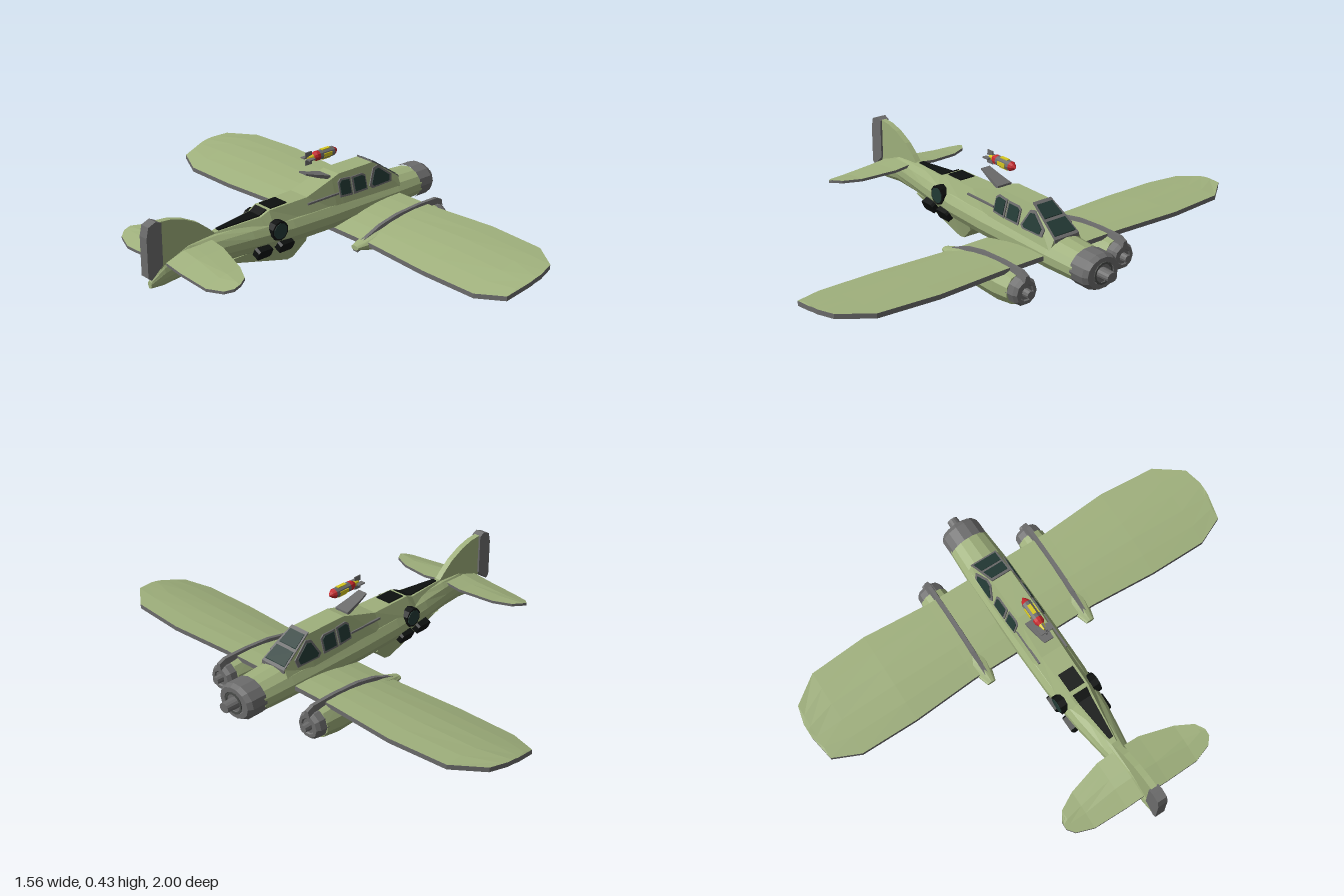
import * as THREE from 'three';

const mat = (name, color, side = THREE.FrontSide) =>
  new THREE.MeshStandardMaterial({ name, color, flatShading: true, side });
const green = mat('bodyGreen', 0x9fb07c);
const grey = mat('trimGrey', 0x6c6c6c);
const darkGrey = mat('seamGrey', 0x4a4c4a);
const glass = mat('windowGlass', 0x233a35);
const black = mat('ventBlack', 0x0d100f);
const red = mat('bombRed', 0xc4262b);
const yellow = mat('bombYellow', 0xd6c71f);

// Skin closed rings of [x, y, z] points; edge(j) picks the material group of each side
function loft(rings, edge = () => 0, cap = 0) {
  const tris = [[], []], n = rings[0].length;
  const add = (g, a, b, c) => tris[g].push([a, b, c]);
  for (let i = 0; i < rings.length - 1; i++) for (let j = 0; j < n; j++) {
    const k = (j + 1) % n, A = rings[i], B = rings[i + 1];
    add(edge(j), A[j], B[j], B[k]);
    add(edge(j), A[j], B[k], A[k]);
  }
  const last = rings[rings.length - 1];
  for (let j = 1; j < n - 1; j++) {
    add(cap, rings[0][0], rings[0][j], rings[0][j + 1]);
    add(cap, last[0], last[j + 1], last[j]);
  }
  // Turn the surface outward whichever way the rings run
  const v = (p) => new THREE.Vector3(...p);
  let volume = 0;
  tris.flat().forEach(([a, b, c]) => { volume += v(a).dot(v(b).cross(v(c))); });
  const flat = tris.map((t) => t.flatMap(([a, b, c]) => (volume < 0 ? [a, c, b] : [a, b, c]).flat()));
  const geo = new THREE.BufferGeometry();
  geo.setAttribute('position', new THREE.Float32BufferAttribute(flat.flat(), 3));
  geo.addGroup(0, flat[0].length / 3, 0);
  geo.addGroup(flat[0].length / 3, flat[1].length / 3, 1);
  geo.computeVertexNormals();
  return geo;
}

// Straight-line interpolation through [x, y] pairs
function curve(pts, x) {
  if (x <= pts[0][0]) return pts[0][1];
  for (let i = 1; i < pts.length; i++) if (x <= pts[i][0]) {
    const [a, b] = [pts[i - 1], pts[i]];
    return a[1] + (b[1] - a[1]) * (x - a[0]) / (b[0] - a[0]);
  }
  return pts[pts.length - 1][1];
}

// Elliptic ring from x, top, bottom, half width, around centre line z
const oval = (z0, n) => ([x, top, bot, w]) => Array.from({ length: n }, (_, i) => {
  const a = (i + 0.5) / n * Math.PI * 2;
  return [x, (top + bot) / 2 + Math.sin(a) * (top - bot) / 2, z0 + Math.cos(a) * w];
});
// Four-cornered ring from x, top, bottom, top half width, bottom half width
const quad = (z0 = 0) => ([x, top, bot, wt, wb = wt]) =>
  [[x, bot, z0 - wb], [x, top, z0 - wt], [x, top, z0 + wt], [x, bot, z0 + wb]];

// Cambered plate with a grey rim from [z, rear x, front x] stations
function wingPlate(stations, yAt, thick) {
  const steps = 6;
  const full = [...stations.map(([z, a, b]) => [-z, a, b]).reverse(), ...stations];
  const rings = full.map(([z, a, b]) => {
    const xs = Array.from({ length: steps }, (_, i) => a + (b - a) * i / (steps - 1));
    return [...xs.map((x) => [x, yAt(x, z), z]),
      ...xs.reverse().map((x) => [x, yAt(x, z) - thick, z])];
  });
  return loft(rings, (j) => (j === steps - 1 || j === 2 * steps - 1 ? 1 : 0), 1);
}

// Turned part along +x from [radius, x] points
const turned = (pts, n) =>
  new THREE.LatheGeometry(pts.map(([r, x]) => new THREE.Vector2(r, x)), n).rotateZ(-Math.PI / 2);
const plate = (pts, depth) => new THREE.ExtrudeGeometry(
  new THREE.Shape(pts.map((p) => new THREE.Vector2(...p))), { depth, bevelEnabled: false });

export function createModel() {
  const model = new THREE.Group();
  model.name = 'aircraft';
  const add = (name, geo, material, x = 0, y = 0, z = 0) => {
    const m = new THREE.Mesh(geo, material);
    m.name = name;
    m.position.set(x, y, z);
    model.add(m);
    return m;
  };

  // Fuselage, raised deck with cabin, belly step
  add('fuselage', loft([
    [0.65, 0.207, 0.072, 0.09], [0.5, 0.216, 0.068, 0.098], [0.1, 0.222, 0.065, 0.1],
    [-0.1, 0.225, 0.07, 0.097], [-0.3, 0.227, 0.084, 0.08], [-0.45, 0.223, 0.09, 0.057],
    [-0.58, 0.215, 0.09, 0.036], [-0.7, 0.17, 0.075, 0.024], [-0.76, 0.112, 0.08, 0.012],
  ].map(oval(0, 14))), green);
  add('cabin', loft([
    [-0.46, 0.224, 0.17, 0.01, 0.04], [-0.24, 0.236, 0.17, 0.04, 0.08], [-0.2, 0.255, 0.17, 0.045, 0.085],
    [0, 0.258, 0.17, 0.05, 0.085], [0.14, 0.3, 0.17, 0.048, 0.085], [0.18, 0.312, 0.17, 0.046, 0.085],
    [0.38, 0.312, 0.17, 0.046, 0.085], [0.52, 0.216, 0.17, 0.062, 0.085],
  ].map(quad())), green);
  add('bellyStep', loft([
    [-0.43, 0.09, 0.083, 0.03, 0.02], [-0.1, 0.12, 0.006, 0.075, 0.042],
    [-0.07, 0.12, 0.01, 0.075, 0.042], [-0.01, 0.12, 0.068, 0.07, 0.055],
  ].map(quad())), green);

  // Nose engine
  const nose = add('noseCowling', turned(
    [[0.074, 0], [0.074, 0.07], [0.064, 0.09], [0.045, 0.09], [0.042, 0.082], [0.022, 0.082],
      [0.02, 0.14], [0, 0.14]], 14), grey, 0.64, 0.14);
  nose.scale.z = 1.22;
  add('noseSeam', turned([[0.046, 0], [0.046, 0.004], [0.038, 0.004], [0.038, 0]], 14), darkGrey, 0.73, 0.14);

  // Main wing
  const camber = [[0.1, 0.082], [0.2, 0.115], [0.3, 0.14], [0.4, 0.152], [0.53, 0.152]];
  add('wing', wingPlate([
    [0.1, 0.13, 0.5], [0.3, 0.13, 0.5], [0.6, 0.11, 0.52], [0.86, 0.11, 0.5],
    [0.98, 0.16, 0.41], [1, 0.27, 0.33],
  ], (x, z) => curve(camber, x) + (Math.abs(z) > 0.5 ? 0.004 : 0), 0.02), [green, grey]);

  // Tailplane
  const tailCamber = [[-0.69, 0.172], [-0.6, 0.202], [-0.48, 0.212]];
  add('tailplane', wingPlate([
    [0.02, -0.69, -0.48], [0.1, -0.69, -0.48], [0.25, -0.685, -0.52], [0.325, -0.66, -0.56],
    [0.35, -0.63, -0.6],
  ], (x, z) => curve(tailCamber, x) - 0.025 * Math.min(1, Math.abs(z) / 0.2), 0.012), [green, grey]);

  // Fin and rudder
  add('fin', plate([[-0.45, 0.222], [-0.48, 0.25], [-0.53, 0.29], [-0.6, 0.325], [-0.66, 0.342],
    [-0.715, 0.347], [-0.715, 0.15], [-0.6, 0.18]], 0.026), green, 0, 0, -0.013);
  add('rudder', plate([[-0.71, 0.345], [-0.735, 0.357], [-0.77, 0.343], [-0.78, 0.3], [-0.78, 0.135],
    [-0.765, 0.122], [-0.71, 0.17]], 0.044), grey, 0, 0, -0.022);

  // Windscreen: grey sheet on the sloping cabin front with two glass panes
  const slope = (x) => 0.312 - (x - 0.38) * 0.686;
  const screen = (name, a, b, inset, lift, material) => add(name, loft([a, b].map((x) =>
    quad()([x, slope(x) + lift, slope(x) - 0.01, curve([[0.38, 0.046], [0.52, 0.062]], x) - inset]))), material);
  screen('windscreenFrame', 0.375, 0.525, 0, 0.005, grey);
  screen('windscreenUpper', 0.39, 0.445, 0.008, 0.008, glass);
  screen('windscreenLower', 0.458, 0.514, 0.008, 0.008, glass);

  // Paired parts
  const windows = [
    [[0.165, 0.218], [0.235, 0.213], [0.235, 0.287], [0.18, 0.292], [0.165, 0.28]],
    [[0.242, 0.213], [0.322, 0.213], [0.322, 0.275], [0.305, 0.285], [0.242, 0.285]],
    [[0.335, 0.222], [0.35, 0.21], [0.465, 0.212], [0.472, 0.242], [0.4, 0.296], [0.372, 0.29]],
  ];
  for (const s of [1, -1]) {
    // Cabin side windows lean with the wall
    windows.forEach((pts) => {
      const cx = pts.reduce((t, p) => t + p[0], 0) / pts.length;
      const cy = pts.reduce((t, p) => t + p[1], 0) / pts.length;
      const pane = (name, k, depth, material) => {
        const geo = plate(pts.map(([x, y]) => [cx + (x - cx) * k, cy + (y - cy) * k]), depth);
        const p = geo.attributes.position;
        for (let i = 0; i < p.count; i++) {
          const wall = 0.085 - (p.getY(i) - 0.17) * 0.27;
          p.setZ(i, s > 0 ? wall + p.getZ(i) : p.getZ(i) - wall - depth);
        }
        geo.computeVertexNormals();
        add(name, geo, material);
      };
      pane('windowFrame', 1, 0.005, grey);
      pane('windowPane', 0.78, 0.008, glass);
    });

    // Round side window and lower vents
    const round = (r, d) => new THREE.CylinderGeometry(r, r, d, 10).rotateX(Math.PI / 2);
    add('roundWindowRim', round(0.042, 0.04), black, -0.185, 0.178, s * 0.077);
    add('roundWindowPane', round(0.034, 0.04), glass, -0.185, 0.178, s * 0.08);
    for (const x of [-0.26, -0.15]) {
      const vent = add('sideVent', plate([[-0.038, -0.015], [-0.03, -0.024], [0.03, -0.024], [0.038, -0.015],
        [0.038, 0.015], [0.03, 0.024], [-0.03, 0.024], [-0.038, 0.015]], 0.03), black, x, 0.103, s * (x < -0.2 ? 0.076 : 0.082));
      vent.geometry.translate(0, 0, -0.015);
      vent.rotation.x = s * 0.45;
    }

    // Deck rail
    add('deckRail', new THREE.BoxGeometry(0.17, 0.008, 0.008), grey, 0.075, 0.235, s * 0.067);

    // Engine nacelle with cowling, hub and top ridge
    const z = s * 0.25;
    add('nacelle', loft([
      [0.08, 0.085, 0.065, 0.02], [0.18, 0.115, 0.04, 0.05], [0.29, 0.138, 0.006, 0.065],
      [0.46, 0.15, 0, 0.068], [0.54, 0.142, 0.012, 0.062],
    ].map(oval(z, 10))), green);
    add('nacelleCowling', turned([[0.06, 0], [0.058, 0.04], [0.048, 0.056], [0.034, 0.056], [0.03, 0.05],
      [0.018, 0.05], [0.016, 0.08], [0, 0.08]], 10), grey, 0.53, 0.078, z);
    add('nacelleRidge', loft([[0.085, 0.082], [0.15, 0.107], [0.22, 0.135], [0.32, 0.155],
      [0.45, 0.163], [0.56, 0.162], [0.59, 0.148]].map(([x, y]) => quad(z)([x, y, y - 0.025, 0.008, 0.014]))), grey);
  }

  // Vents along the upper deck
  add('rearDeckVent', loft([[-0.43, 0.231, 0.21, 0.01], [-0.24, 0.241, 0.22, 0.03], [-0.205, 0.258, 0.23, 0.034]]
    .map(quad())), black);
  add('frontDeckVent', loft([[-0.185, 0.26, 0.25, 0.036], [-0.1, 0.261, 0.25, 0.036]].map(quad())), black);

  // Raised hatch behind the cabin
  add('hatch', loft([[0.02, 0.346, 0.339, 0.022], [0.08, 0.327, 0.314, 0.028], [0.145, 0.31, 0.292, 0.034]]
    .map(quad())), grey);

  // Floating bomb: body bands, red tip and tail fins
  const bomb = (name, pts, material) => add(name, turned(pts, 10), material, 0, 0.4, 0);
  bomb('bombTail', [[0, 0.05], [0.009, 0.05], [0.013, 0.075]], yellow);
  bomb('bombRearBand', [[0.013, 0.075], [0.021, 0.09], [0.021, 0.105]], red);
  bomb('bombBody', [[0.021, 0.105], [0.021, 0.185]], grey);
  bomb('bombTip', [[0.021, 0.185], [0.013, 0.2], [0, 0.215]], red);
  for (let i = 0; i < 4; i++) {
    const fin = add('bombFin', new THREE.BoxGeometry(0.034, 0.022, 0.005).translate(0, 0.017, 0), grey, 0.052, 0.4, 0);
    fin.rotation.x = i * Math.PI / 2;
    const mark = add('bombMark', new THREE.BoxGeometry(0.045, 0.004, 0.016).translate(0, 0.0205, 0), yellow, 0.145, 0.4, 0);
    mark.rotation.x = i * Math.PI / 2;
  }
  return model;
}
